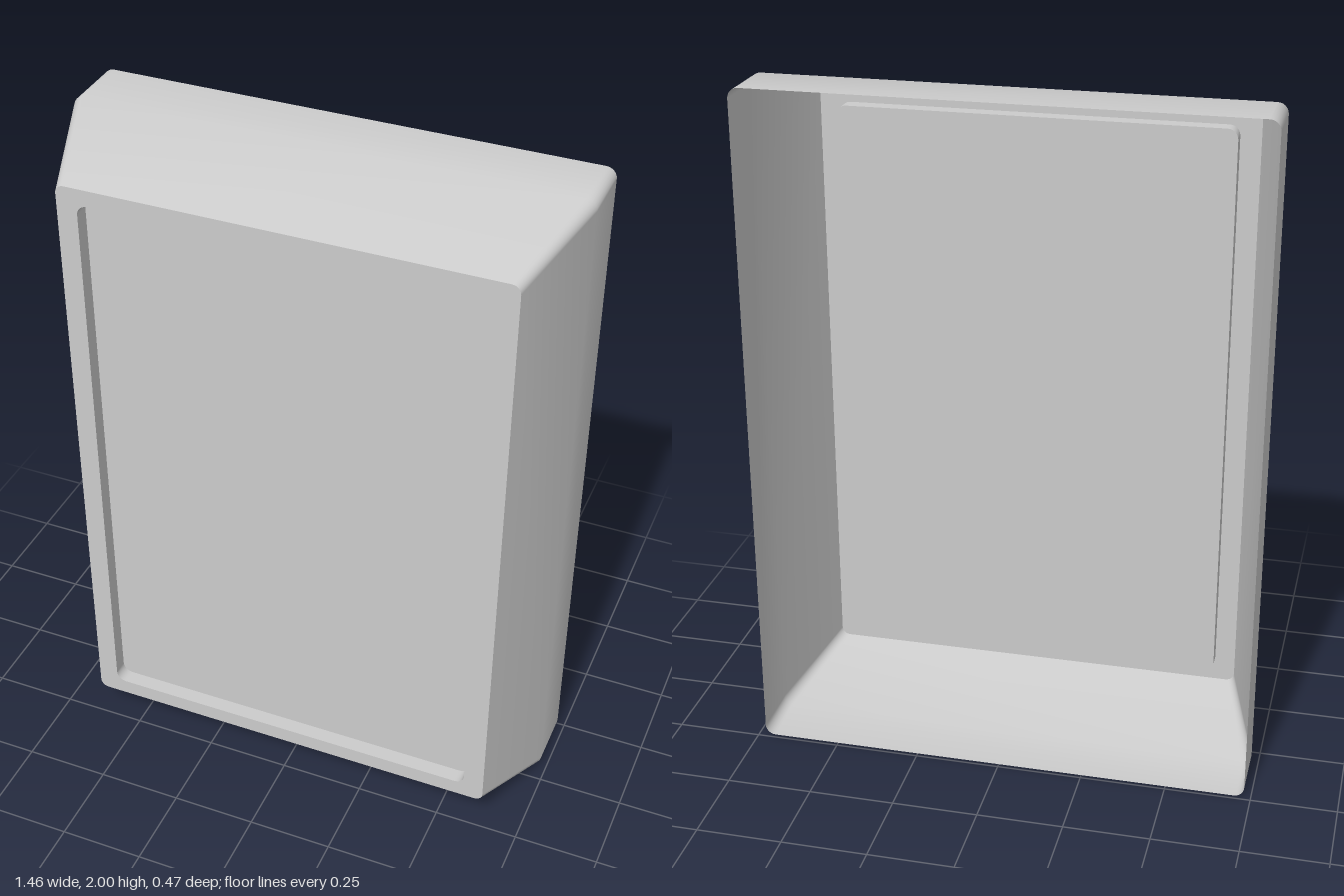
import * as THREE from 'three';

const CORNER_STEPS = 6;
const CENTRE_Y = 1;

// Rounded rectangle outline, counter-clockwise seen from the front
function outline(halfW, halfH, r) {
  const points = [];
  const corners = [[1, -1], [1, 1], [-1, 1], [-1, -1]];
  corners.forEach(([sx, sy], k) => {
    for (let i = 0; i <= CORNER_STEPS; i++) {
      const a = (k - 1 + i / CORNER_STEPS) * Math.PI / 2;
      points.push(new THREE.Vector2(
        sx * (halfW - r) + r * Math.cos(a),
        sy * (halfH - r) + r * Math.sin(a)));
    }
  });
  return points;
}

// Smooth skin through a list of sections { w, h, r, z }
function loft(sections) {
  const positions = [], index = [];
  const n = 4 * (CORNER_STEPS + 1);
  sections.forEach(({ w, h, r, z }, s) => {
    outline(w, h, r).forEach((p, i) => {
      positions.push(p.x, p.y, z);
      if (s === sections.length - 1) return;
      const a = s * n + i, b = s * n + (i + 1) % n;
      index.push(a, b, b + n, a, b + n, a + n);
    });
  });
  const geometry = new THREE.BufferGeometry();
  geometry.setAttribute('position', new THREE.Float32BufferAttribute(positions, 3));
  geometry.setIndex(index);
  geometry.computeVertexNormals();
  return geometry;
}

export function createModel() {
  const model = new THREE.Group();
  model.name = 'hollowCasing';
  const material = new THREE.MeshStandardMaterial({ color: 0xcccccc, side: THREE.DoubleSide });

  const add = (name, geometry) => {
    const mesh = new THREE.Mesh(geometry, material);
    mesh.name = name;
    mesh.position.y = CENTRE_Y;
    model.add(mesh);
    return mesh;
  };

  const back = { w: 0.73, h: 1, r: 0.03, z: -0.237 };
  const shoulder = { ...back, z: -0.06 };
  const front = { w: 0.635, h: 0.903, r: 0.025, z: 0.237 };
  const lip = { w: 0.575, h: 0.855, r: 0.03, z: 0.237 };
  const floor = { ...lip, z: 0.192 };

  // Thin outer shell, open at the back, tapering to the front
  add('outerShell', loft([back, shoulder, front]));

  // Flat border around the recess
  add('frontBorder', loft([front, lip]));

  // Shallow recess and its panel
  add('recessWall', loft([lip, floor]));
  const panel = add('recessedPanel',
    new THREE.ShapeGeometry(new THREE.Shape(outline(floor.w, floor.h, floor.r))));
  panel.position.z = floor.z;

  return model;
}
